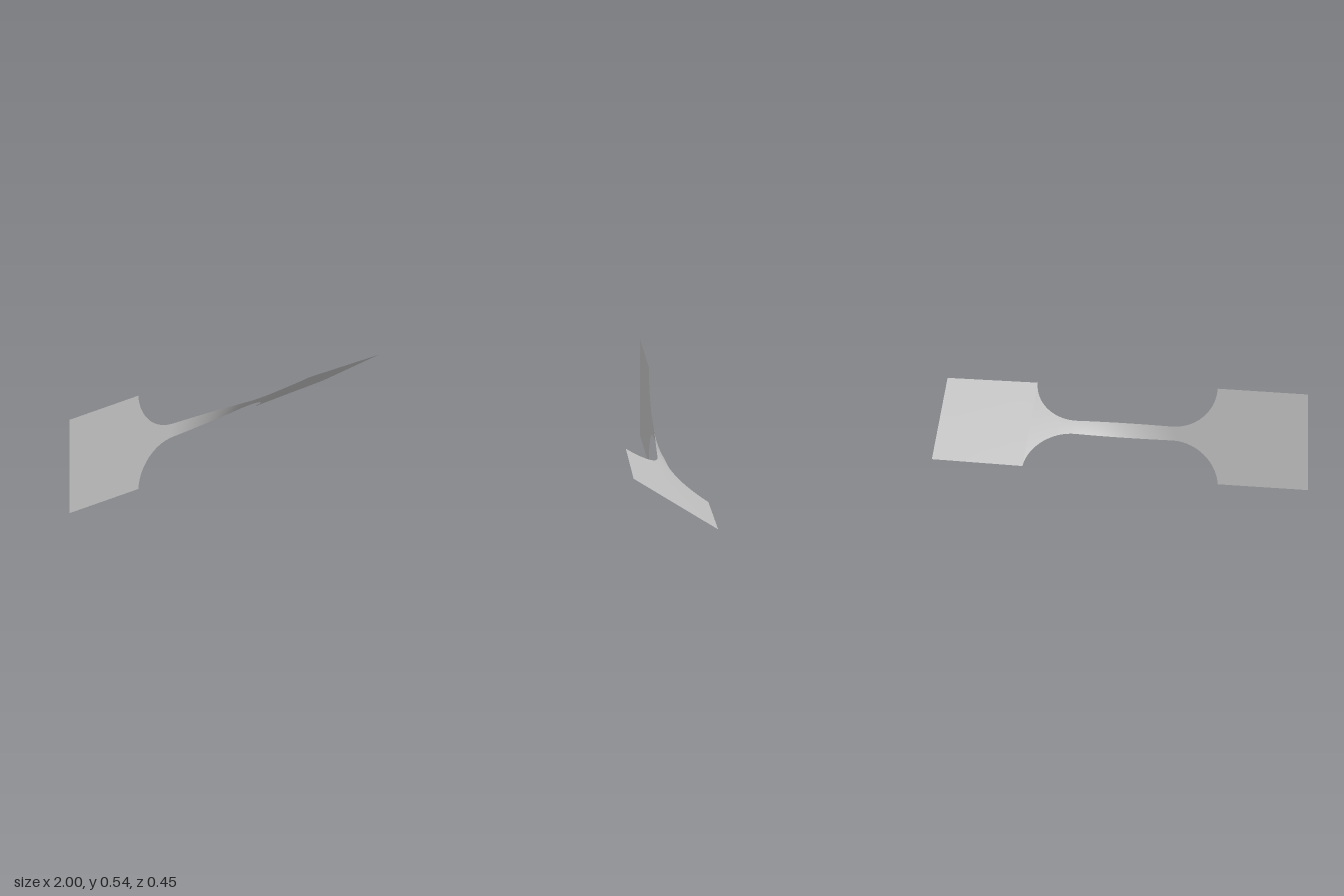
import * as THREE from 'three';

const HALF = 0.2715;   // grip half height
const NECK = 0.039;    // neck half height
const R = 0.25;        // shoulder fillet radius
const NECK_END = 0.26; // where the neck meets the fillets
const SWEEP = Math.acos((R + NECK - HALF) / R); // fillet arc angle

// Twist about the long axis, in degrees, as [x, angle] stations
const TWIST = [[-1, 0], [-0.28, 0], [0, 22], [0.26, 45.5], [0.35, 51], [0.51, 54.6], [1, 56.6]];

function twistAt(x) {
  for (let i = 1; i < TWIST.length; i++) {
    const [x0, a0] = TWIST[i - 1], [x1, a1] = TWIST[i];
    if (x <= x1) return THREE.MathUtils.degToRad(a0 + (a1 - a0) * (x - x0) / (x1 - x0));
  }
  return THREE.MathUtils.degToRad(TWIST[TWIST.length - 1][1]);
}

// Half outline from the neck centre to the end of a grip: [x, half height]
function halfOutline() {
  const pts = [];
  for (let i = 0; i <= 16; i++) pts.push([NECK_END * i / 16, NECK]);
  for (let i = 1; i <= 24; i++) {
    const a = SWEEP * i / 24;
    pts.push([NECK_END + R * Math.sin(a), NECK + R * (1 - Math.cos(a))]);
  }
  const start = pts[pts.length - 1][0];
  for (let i = 1; i <= 8; i++) pts.push([start + (1 - start) * i / 8, HALF]);
  return pts;
}

// Thin sheet lofted through straight cross-sections, each turned by the twist
function sheetGeometry(sections, rows) {
  const positions = [], index = [];
  sections.forEach(([x, h], i) => {
    const a = twistAt(x);
    for (let j = 0; j <= rows; j++) {
      const t = h * (2 * j / rows - 1);
      positions.push(x, HALF + t * Math.cos(a), t * Math.sin(a));
      if (i && j) {
        const d = i * (rows + 1) + j, c = d - 1, b = d - rows - 1, e = b - 1;
        index.push(e, c, d, e, d, b);
      }
    }
  });
  const geometry = new THREE.BufferGeometry();
  geometry.setAttribute('position', new THREE.Float32BufferAttribute(positions, 3));
  geometry.setIndex(index);
  geometry.computeVertexNormals();
  return geometry;
}

export function createModel() {
  const group = new THREE.Group();
  group.name = 'twistedTestStrip';

  const material = new THREE.MeshStandardMaterial({ color: 0xc0c0c0, side: THREE.DoubleSide });
  material.name = 'light grey';

  // Mirror the half outline for the full length of the strip
  const half = halfOutline();
  const mirrored = half.slice(1).reverse().map(([x, h]) => [-x, h]);
  const strip = new THREE.Mesh(sheetGeometry([...mirrored, ...half], 8), material);
  strip.name = 'strip';
  group.add(strip);
  return group;
}
